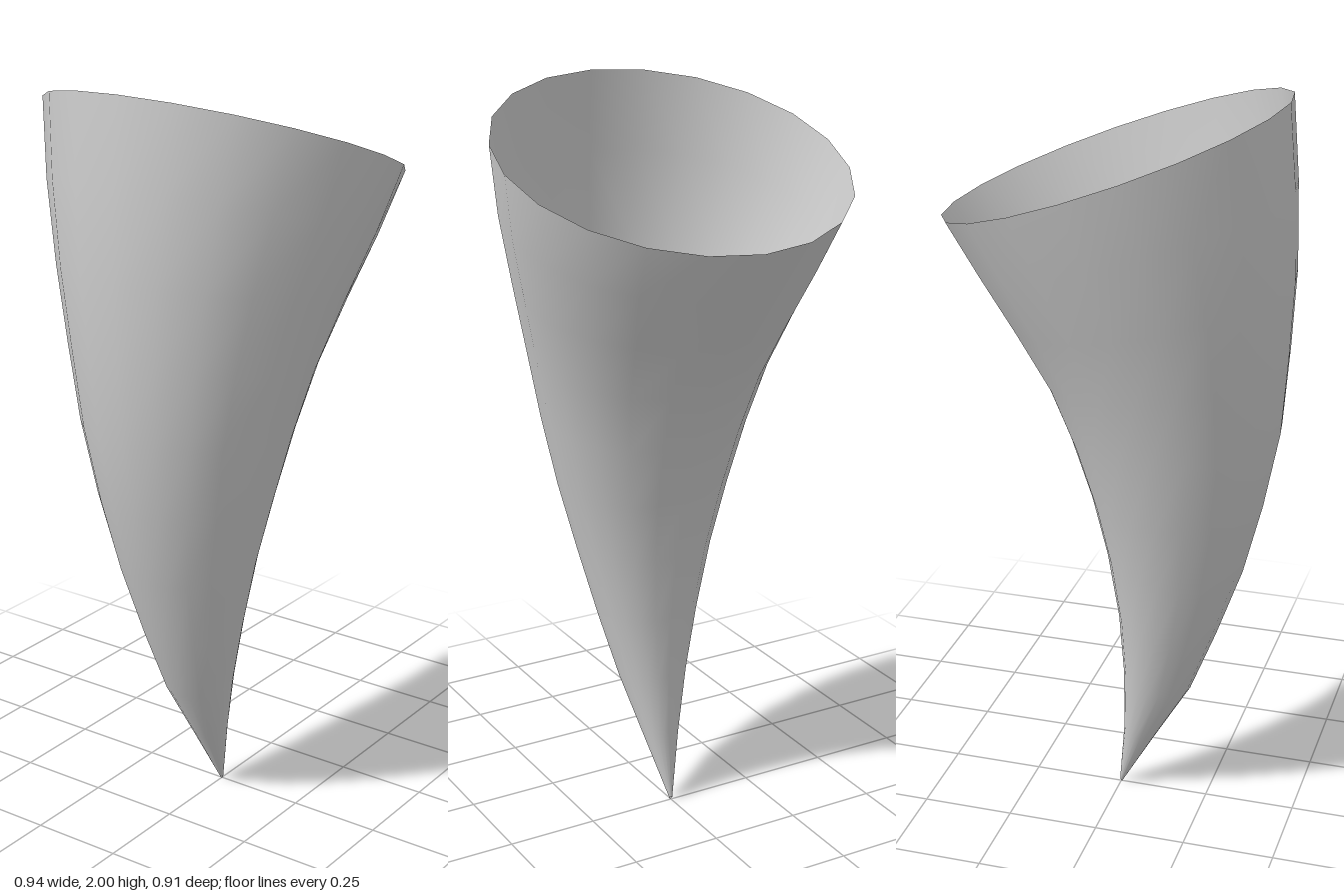
import * as THREE from 'three';

const SIDES = 20;

// Each ring of the horn: front point z, y, then back point z, y, then half width
const RINGS = [
  [0.003, 0.0, -0.003, 0.01, 0.004],
  [0.10, 0.17, 0.012, 0.20, 0.05],
  [0.20, 0.34, 0.012, 0.38, 0.095],
  [0.27, 0.52, 0.0, 0.56, 0.14],
  [0.34, 0.72, -0.03, 0.75, 0.187],
  [0.39, 0.92, -0.07, 0.92, 0.235],
  [0.43, 1.13, -0.125, 1.09, 0.28],
  [0.445, 1.34, -0.19, 1.25, 0.325],
  [0.455, 1.55, -0.28, 1.40, 0.375],
  [0.447, 1.78, -0.37, 1.545, 0.43],
  [0.428, 2.0, -0.453, 1.68, 0.47],
];

// Skins tilted elliptical rings into an open, smooth curved cone
function hornGeometry() {
  const positions = [];
  const index = [];
  RINGS.forEach(([fz, fy, bz, by, w], r) => {
    for (let i = 0; i < SIDES; i++) {
      const a = (i / SIDES) * Math.PI * 2;
      const t = (1 + Math.cos(a)) / 2; // 1 at the front, 0 at the back
      positions.push(w * Math.sin(a), by + (fy - by) * t, bz + (fz - bz) * t);
      if (r === 0) continue;
      const next = (i + 1) % SIDES;
      const low = (r - 1) * SIDES;
      const high = r * SIDES;
      index.push(low + i, low + next, high + next, low + i, high + next, high + i);
    }
  });
  const geometry = new THREE.BufferGeometry();
  geometry.setAttribute('position', new THREE.Float32BufferAttribute(positions, 3));
  geometry.setIndex(index);
  geometry.computeVertexNormals();
  return geometry;
}

export function createModel() {
  const group = new THREE.Group();
  group.name = 'curvedHorn';

  // Hollow shell, open at the wide end
  const material = new THREE.MeshStandardMaterial({ color: 0xcccccc, side: THREE.DoubleSide });
  const shell = new THREE.Mesh(hornGeometry(), material);
  shell.name = 'hornShell';
  group.add(shell);

  return group;
}
